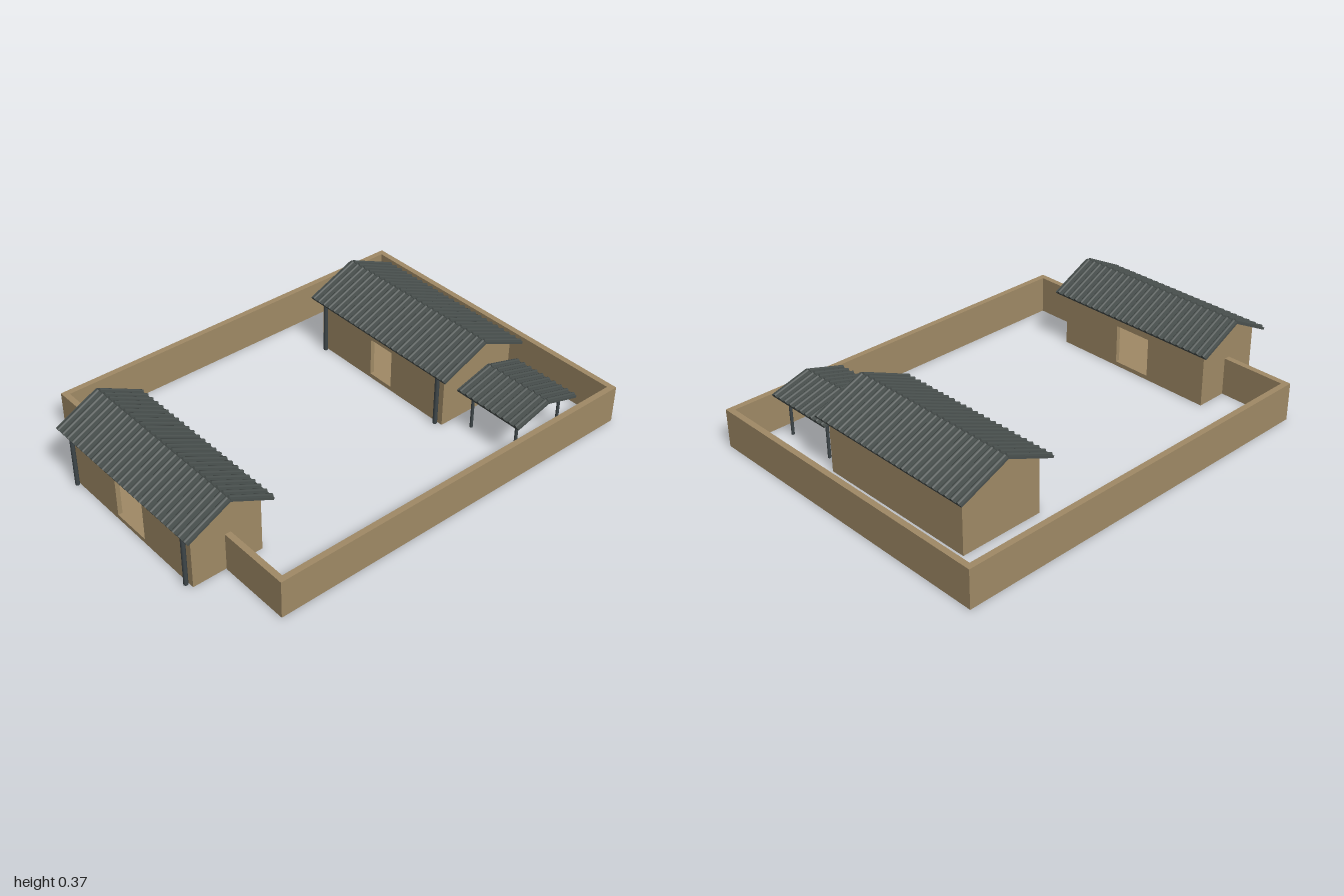
import * as THREE from 'three';

const mat = (name, color) => Object.assign(new THREE.MeshStandardMaterial({ color }), { name });
const earth = mat('earth wall', 0xa08a66);
const tile = mat('roof tile', 0x4a514f);
const timber = mat('dark timber', 0x3f474a);

function add(parent, name, geometry, material, x = 0, y = 0, z = 0) {
  const mesh = new THREE.Mesh(geometry, material);
  mesh.name = name;
  mesh.position.set(x, y, z);
  parent.add(mesh);
  return mesh;
}

function box(parent, name, x0, x1, y0, y1, z0, z1) {
  return add(parent, name, new THREE.BoxGeometry(x1 - x0, y1 - y0, z1 - z0), earth,
    (x0 + x1) / 2, (y0 + y1) / 2, (z0 + z1) / 2);
}

function post(parent, x, z, height, radius) {
  add(parent, 'post', new THREE.CylinderGeometry(radius, radius, height, 8), timber, x, height / 2, z);
}

// Two sloping slabs carrying rows of round tiles, ridge along x
function roof(parent, width, half, ridgeY, eaveY) {
  const length = Math.hypot(half, ridgeY - eaveY);
  const angle = Math.atan2(ridgeY - eaveY, half);
  const count = Math.round(width / 0.035);
  const slab = new THREE.BoxGeometry(width, 0.01, length);
  const rib = new THREE.CylinderGeometry(0.008, 0.008, length, 8);
  rib.rotateX(Math.PI / 2);
  for (const s of [1, -1]) {
    const slope = new THREE.Group();
    slope.name = 'roofSlope';
    slope.position.set(0, (ridgeY + eaveY) / 2, s * half / 2);
    slope.rotation.x = s * angle;
    parent.add(slope);
    add(slope, 'roofSlab', slab, tile);
    for (let i = 0; i < count; i++) {
      add(slope, 'tileRow', rib, tile, -width / 2 + (i + 0.5) * width / count, 0.005, 0);
    }
  }
}

// Long wall with an optional doorway
function longWall(parent, name, half, height, door, z) {
  const s = new THREE.Shape();
  s.moveTo(-half, 0).lineTo(half, 0).lineTo(half, height).lineTo(-half, height).closePath();
  if (door) {
    const h = new THREE.Path();
    h.moveTo(-door, 0.02).lineTo(-door, 0.2).lineTo(door, 0.2).lineTo(door, 0.02).closePath();
    s.holes.push(h);
  }
  add(parent, name, new THREE.ExtrudeGeometry(s, { depth: T, bevelEnabled: false }), earth, 0, 0, z);
}

const T = 0.02; // house wall thickness

function house(name, o) {
  const g = new THREE.Group();
  g.name = name;
  g.position.set(o.x, 0, o.z);
  const { half, depth } = o;
  const underside = z => o.ridgeY - (o.ridgeY - o.eaveY) * z / o.roofHalf - 0.006;

  box(g, 'floor', -half + T, half - T, 0, 0.02, -depth + T, depth - T);
  longWall(g, 'frontWall', half - T, o.wallY, o.frontDoor, depth - T);
  longWall(g, 'backWall', half - T, o.wallY, o.backDoor, -depth);

  // Gable ends
  const s = new THREE.Shape();
  s.moveTo(-depth, 0).lineTo(depth, 0).lineTo(depth, underside(depth))
    .lineTo(0, underside(0)).lineTo(-depth, underside(depth)).closePath();
  const gable = new THREE.ExtrudeGeometry(s, { depth: T, bevelEnabled: false });
  gable.rotateY(Math.PI / 2);
  add(g, 'rightGable', gable, earth, -half, 0, 0);
  add(g, 'leftGable', gable, earth, half - T, 0, 0);

  // Porch posts
  for (const sx of [-1, 1]) post(g, sx * o.postX, depth + 0.011, underside(depth) - 0.004, 0.01);
  roof(g, o.roofWidth, o.roofHalf, o.ridgeY, o.eaveY);
  return g;
}

export function createModel() {
  const model = new THREE.Group();
  model.name = 'walledCourtyard';

  // Enclosing wall, open where the gatehouse stands
  const W = 0.735, H = 0.175, t = 0.027, F = 0.81;
  const wall = new THREE.Group();
  wall.name = 'courtyardWall';
  model.add(wall);
  box(wall, 'backYardWall', -W, W, 0, H, -1, -1 + t);
  for (const s of [-1, 1]) {
    const side = box(wall, 'sideYardWall', W - t, W, 0, H, -1 + t, F);
    const front = box(wall, 'frontYardWall', 0.405, W - t, 0, H, F - t, F);
    side.position.x *= s;
    front.position.x *= s;
  }

  model.add(house('gatehouse', {
    x: -0.003, z: 0.8, half: 0.405, depth: 0.163, wallY: 0.238, frontDoor: 0.092, backDoor: 0.092,
    postX: 0.374, roofWidth: 0.885, roofHalf: 0.198, ridgeY: 0.357, eaveY: 0.256,
  }));
  model.add(house('mainHouse', {
    x: -0.1, z: -0.617, half: 0.39, depth: 0.195, wallY: 0.25, frontDoor: 0.066, backDoor: 0,
    postX: 0.36, roofWidth: 0.858, roofHalf: 0.232, ridgeY: 0.357, eaveY: 0.256,
  }));

  // Open shed on four posts
  const shed = new THREE.Group();
  shed.name = 'openShed';
  shed.position.set(0.505, 0, -0.635);
  model.add(shed);
  for (const sx of [-1, 1]) for (const sz of [-1, 1]) post(shed, sx * 0.125, sz * 0.125, 0.198, 0.007);
  roof(shed, 0.35, 0.174, 0.238, 0.187);

  return model;
}
